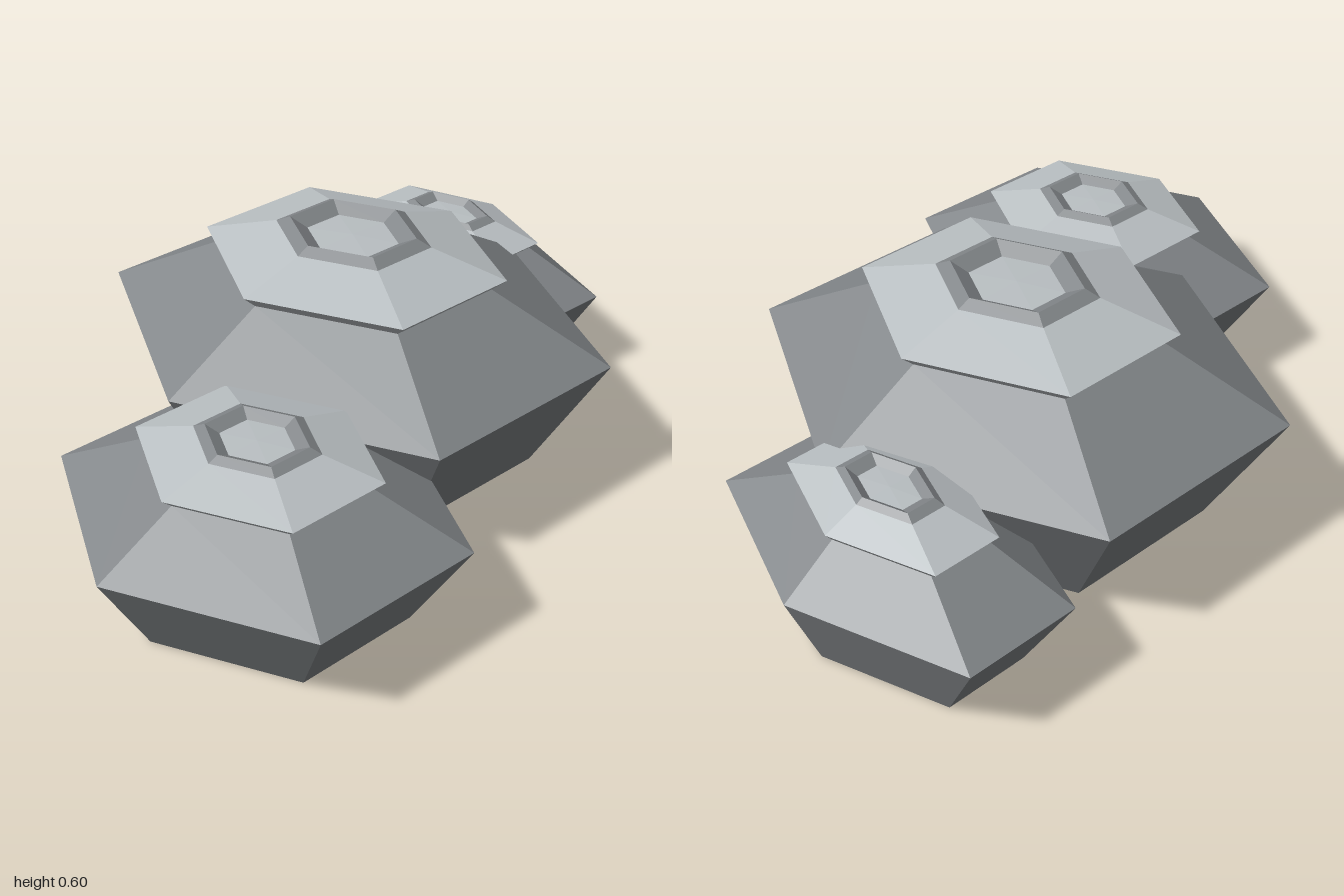
import * as THREE from 'three';

const paint = (color) => new THREE.MeshStandardMaterial({
  color, flatShading: true, side: THREE.DoubleSide,
});
const darkGrey = paint(0x83878a);
const paleGrey = paint(0xbac0c3);

// Six-sided solid turned from [radius, height] pairs, corners on the x axis
function hexTurned(name, material, profile) {
  const points = profile.map(([r, y]) => new THREE.Vector2(r, y));
  const geometry = new THREE.LatheGeometry(points, 6, Math.PI / 2);
  geometry.scale(1, 1, 1.186);
  const mesh = new THREE.Mesh(geometry, material);
  mesh.name = name;
  return mesh;
}

// One mound: flared base, sloping shoulder, overhanging cap and rimmed hollow
function mound(name, [x, z], scale) {
  const group = new THREE.Group();
  group.name = name;
  group.add(
    hexTurned('base', darkGrey, [[0, 0], [0.447, 0], [0.62, 0.33], [0.335, 0.492], [0, 0.492]]),
    hexTurned('cap', paleGrey, [[0, 0.492], [0.335, 0.492], [0.37, 0.525], [0.19, 0.582]]),
    hexTurned('rim', darkGrey, [[0.19, 0.582], [0.155, 0.6], [0.112, 0.576]]),
    hexTurned('hollowFloor', paleGrey, [[0.112, 0.576], [0, 0.58]]),
  );
  group.position.set(x, 0, z);
  group.scale.set(...scale);
  return group;
}

export function createModel() {
  const model = new THREE.Group();
  model.name = 'hexMounds';
  model.add(
    mound('largeMound', [0.105, -0.102], [1, 1, 1]),
    mound('mediumMound', [-0.537, 0.268], [0.75, 0.7, 0.75]),
    mound('smallMound', [0.687, -0.307], [0.5, 0.655, 0.7]),
  );
  return model;
}
